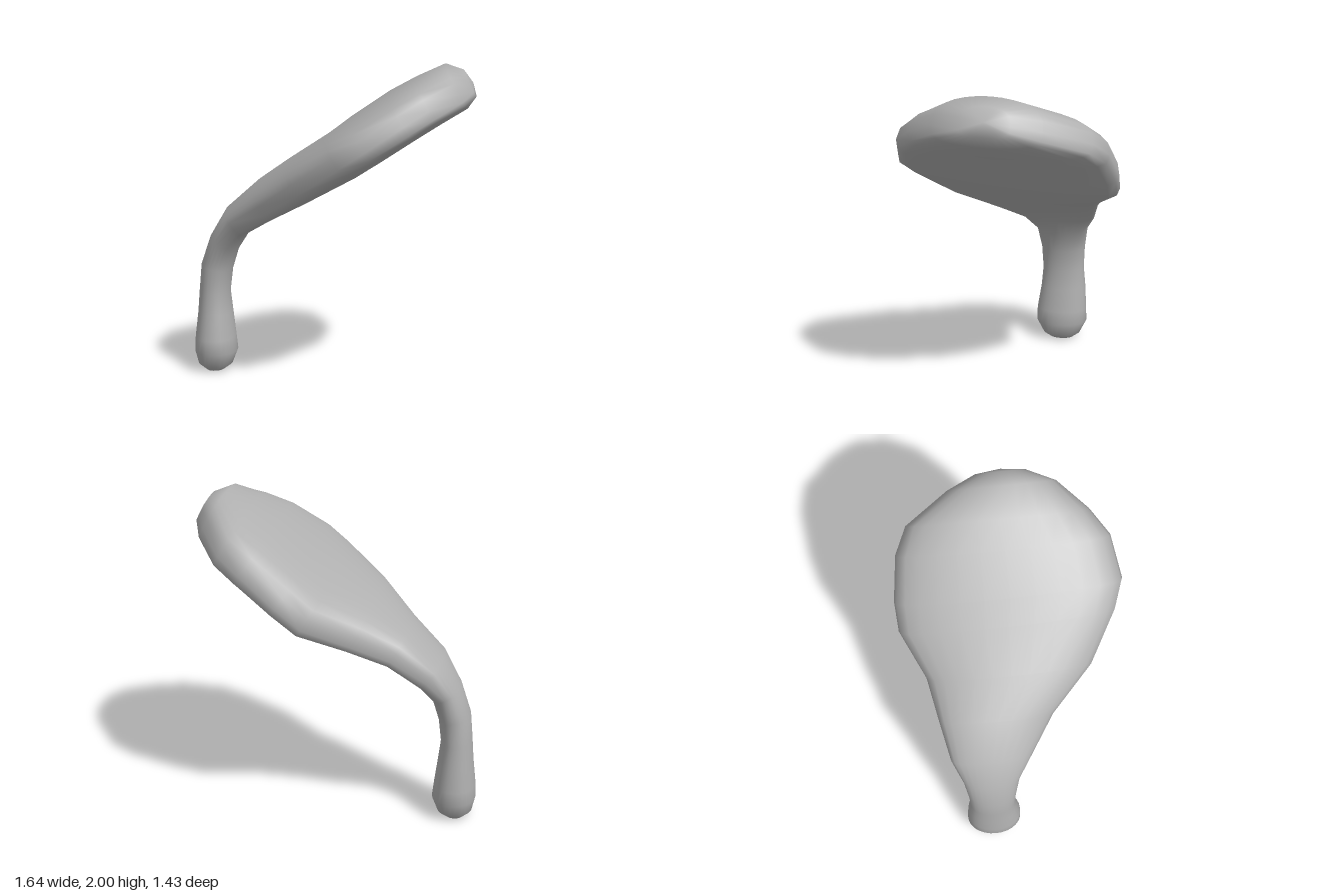
import * as THREE from 'three';

// Cross-sections along the body, from foot to paddle tip:
// [along, height, sideways centre, half width, outer depth, inner depth, sideways tilt]
const STALK = [
  [-0.86, 0.0, -0.07, 0.08, 0.06, 0.06, 0],
  [-0.86, 0.04, -0.07, 0.13, 0.11, 0.11, 0],
  [-0.855, 0.13, -0.07, 0.175, 0.135, 0.14, 0],
  [-0.855, 0.22, -0.07, 0.172, 0.13, 0.13, 0],
  [-0.855, 0.38, -0.08, 0.155, 0.112, 0.11, 0],
  [-0.855, 0.52, -0.08, 0.142, 0.1, 0.095, 0],
  [-0.84, 0.68, -0.08, 0.15, 0.1, 0.1, 0],
  [-0.79, 0.84, -0.08, 0.175, 0.095, 0.1, 0],
];
const PADDLE = [
  [-0.68, 0.97, -0.07, 0.25, 0.13, 0.08, 0],
  [-0.47, 1.1, -0.02, 0.35, 0.175, 0.07, -0.04],
  [-0.23, 1.23, 0.08, 0.5, 0.21, 0.08, 0.04],
  [0.035, 1.39, 0.09, 0.65, 0.22, 0.1, 0.07],
  [0.18, 1.5, 0.11, 0.68, 0.22, 0.11, 0.05],
  [0.4, 1.66, 0.1, 0.635, 0.21, 0.12, 0.03],
  [0.54, 1.745, 0.08, 0.54, 0.2, 0.12, 0.03],
  [0.7, 1.83, 0.12, 0.32, 0.19, 0.11, 0.03],
  [0.77, 1.865, 0.12, 0.15, 0.11, 0.07, 0.03],
];
const SIDES = 28;
const R = Math.SQRT1_2;

// The body bends in the vertical plane that runs diagonally from +z to +x
const place = (s, y, t) => [(s + t) * R, y, (t - s) * R];

function loft(stations) {
  const pos = [], idx = [];
  const last = stations.length - 1;
  stations.forEach(([s, y, t, w, outer, inner, tilt], i) => {
    const a = stations[Math.max(i - 1, 0)], b = stations[Math.min(i + 1, last)];
    const ds = b[0] - a[0], dy = b[1] - a[1], len = Math.hypot(ds, dy);
    // Round stalk sections, boxier paddle sections with a flat underside
    const inPaddle = i >= STALK.length;
    for (let j = 0; j < SIDES; j++) {
      const ang = (j / SIDES) * Math.PI * 2;
      const c = Math.cos(ang) * w, sn = Math.sin(ang);
      const h = sn > 0
        ? outer * sn ** (inPaddle ? 0.7 : 0.9)
        : -inner * Math.abs(sn) ** (inPaddle ? 0.5 : 0.9);
      pos.push(...place(s - (dy / len) * h, y + (ds / len) * h + c * tilt, t + c));
    }
  });
  for (let i = 0; i < last; i++) {
    for (let j = 0; j < SIDES; j++) {
      const k = (j + 1) % SIDES, p = i * SIDES, q = p + SIDES;
      idx.push(p + j, q + j, p + k, q + j, q + k, p + k);
    }
  }
  // Closing caps
  const foot = pos.length / 3, tip = foot + 1, end = last * SIDES;
  const [s0, y0, t0] = stations[0], [s1, y1, t1] = stations[last];
  pos.push(...place(s0, y0, t0), ...place(s1 + 0.01, y1 + 0.02, t1));
  for (let j = 0; j < SIDES; j++) {
    const k = (j + 1) % SIDES;
    idx.push(foot, j, k, tip, end + k, end + j);
  }
  const g = new THREE.BufferGeometry();
  g.setAttribute('position', new THREE.Float32BufferAttribute(pos, 3));
  g.setIndex(idx);
  g.computeVertexNormals();
  return g;
}

export function createModel() {
  const grey = new THREE.MeshStandardMaterial({ color: 0xb0b0b0 });
  grey.name = 'plain grey';
  const body = new THREE.Mesh(loft([...STALK, ...PADDLE]), grey);
  body.name = 'stalkAndPaddle';
  const group = new THREE.Group();
  group.name = 'bentPaddle';
  group.add(body);
  return group;
}
